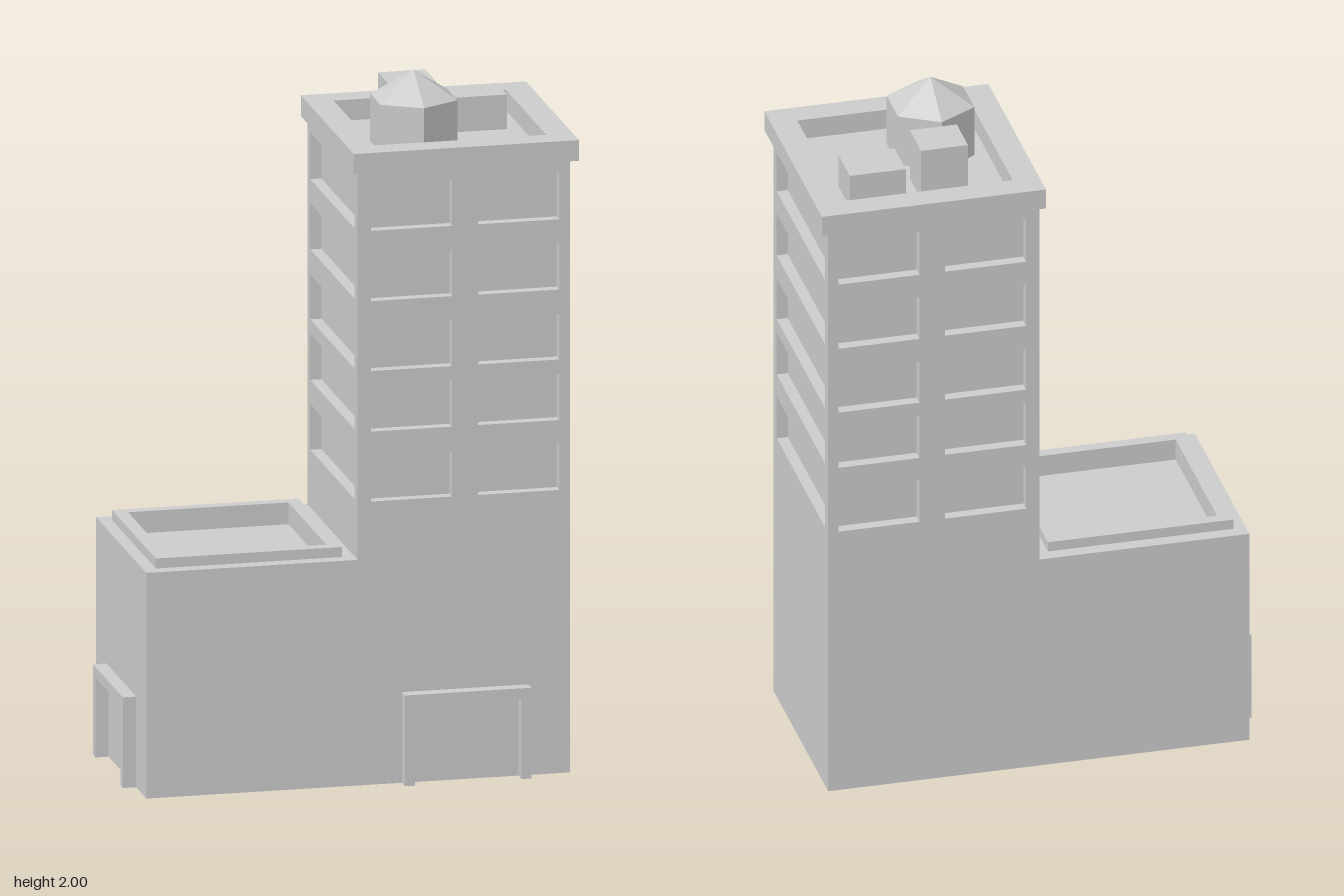
import * as THREE from 'three';

const MAT = new THREE.MeshStandardMaterial({ color: 0xcccccc, flatShading: true });
const ZC = -0.0115;                  // depth centre of the building body
const BACK = -0.316, FRONT = 0.293;  // body depth
const TX0 = 0.005, TX1 = 0.613;      // tower width
const BASE_H = 0.618, TOWER_H = 1.77;
const RECESS = 0.032;                // window depth

function add(parent, name, geometry) {
  const mesh = new THREE.Mesh(geometry, MAT);
  mesh.name = name;
  parent.add(mesh);
  return mesh;
}

// Box given by its limits on each axis
function block(parent, name, x0, x1, y0, y1, z0, z1) {
  const mesh = add(parent, name, new THREE.BoxGeometry(x1 - x0, y1 - y0, z1 - z0));
  mesh.position.set((x0 + x1) / 2, (y0 + y1) / 2, (z0 + z1) / 2);
  return mesh;
}

function rect(path, x0, x1, y0, y1) {
  path.moveTo(x0, y0);
  path.lineTo(x1, y0);
  path.lineTo(x1, y1);
  path.lineTo(x0, y1);
  path.closePath();
  return path;
}

// Flat rectangular frame lying on a roof; outer and inner are [x0, x1, z0, z1]
function roofFrame(parent, name, outer, inner, y0, y1) {
  const flip = ([x0, x1, z0, z1]) => [x0, x1, -z1, -z0];
  const shape = rect(new THREE.Shape(), ...flip(outer));
  shape.holes.push(rect(new THREE.Path(), ...flip(inner)));
  const geo = new THREE.ExtrudeGeometry(shape, { depth: y1 - y0, bevelEnabled: false });
  geo.rotateX(-Math.PI / 2);
  const mesh = add(parent, name, geo);
  mesh.position.y = y0;
  return mesh;
}

// Wall facing +z with its outer face at z = 0, pierced by rows of windows
const WINDOW_ROWS = [0.818, 1.02, 1.195, 1.397, 1.6];
const WINDOW_TOPS = [0.951, 1.153, 1.325, 1.53, 1.735];
function wall(parent, name, width, columns) {
  const shape = rect(new THREE.Shape(), -width / 2, width / 2, BASE_H, TOWER_H);
  WINDOW_ROWS.forEach((y, i) => {
    // sill kept a hair above the storey joint
    for (const [a, b] of columns) {
      shape.holes.push(rect(new THREE.Path(), a, b, y, WINDOW_TOPS[i]));
    }
  });
  const geo = new THREE.ExtrudeGeometry(shape, { depth: RECESS, bevelEnabled: false });
  geo.translate(0, 0, -RECESS);
  return add(parent, name, geo);
}

// Door surround: an upside-down U standing out from a wall facing +z
function doorFrame(parent, name) {
  const w = 0.181, h = 0.262, t = 0.028;
  const shape = new THREE.Shape([
    [-w, 0], [-w + t, 0], [-w + t, h - t - 0.003], [w - t, h - t - 0.003],
    [w - t, 0], [w, 0], [w, h], [-w, h],
  ].map(([x, y]) => new THREE.Vector2(x, y)));
  return add(parent, name, new THREE.ExtrudeGeometry(shape, { depth: 0.038, bevelEnabled: false }));
}

export function createModel() {
  const model = new THREE.Group();
  model.name = 'building';

  // Ground floors
  block(model, 'base', -0.6, TX1, 0, BASE_H, BACK, FRONT);

  // Low wing roof with a sunken terrace and raised rim
  const terrace = [-0.526, -0.067, -0.242, 0.22];
  roofFrame(model, 'wingRoof', [-0.6, TX0, BACK, FRONT], terrace, BASE_H, 0.652);
  roofFrame(model, 'wingRim', [-0.564, -0.03, -0.276, 0.254], terrace, 0.652, 0.681);

  // Tower: solid core behind four pierced walls
  const tower = new THREE.Group();
  tower.name = 'tower';
  model.add(tower);
  block(tower, 'towerCore', TX0 + RECESS, TX1 - RECESS, BASE_H, TOWER_H, BACK + RECESS, FRONT - RECESS);
  const tx = (TX0 + TX1) / 2;
  const pair = [[-0.266, -0.033], [0.041, 0.274]];
  const pairBack = pair.map(([a, b]) => [-b, -a]);
  wall(tower, 'frontWall', TX1 - TX0, pair).position.set(tx, 0, FRONT);
  const back = wall(tower, 'backWall', TX1 - TX0, pairBack);
  back.position.set(tx, 0, BACK);
  back.rotation.y = Math.PI;
  for (const [name, x, turn] of [['leftWall', TX1, 1], ['rightWall', TX0, -1]]) {
    const side = wall(tower, name, FRONT - BACK - 2 * RECESS, [[-0.2705, 0.2705]]);
    side.position.set(x, 0, ZC);
    side.rotation.y = turn * Math.PI / 2;
  }

  // Overhanging parapet around the tower roof
  roofFrame(tower, 'parapet', [-0.01, 0.635, -0.332, 0.31], [0.066, 0.56, -0.256, 0.234], TOWER_H, 1.83);

  // Rooftop equipment
  block(tower, 'tallRoofUnit', 0.178, 0.313, TOWER_H, 1.922, -0.19, -0.065);
  block(tower, 'lowRoofUnit', 0.357, 0.518, TOWER_H, 1.87, -0.19, -0.065);

  // Six-sided water tank with a pointed roof
  const tank = new THREE.Group();
  tank.name = 'waterTank';
  tank.position.set(0.215, 0, 0.085);
  tower.add(tank);
  add(tank, 'tankBody', new THREE.CylinderGeometry(0.127, 0.127, 0.152, 6)).position.y = TOWER_H + 0.076;
  add(tank, 'tankRoof', new THREE.ConeGeometry(0.127, 0.078, 6)).position.y = 1.961;

  // Doorways on the front and on the wing end
  doorFrame(model, 'frontDoorFrame').position.set(0.313, 0, FRONT);
  const sideDoor = doorFrame(model, 'sideDoorFrame');
  sideDoor.position.set(-0.6, 0, ZC);
  sideDoor.rotation.y = -Math.PI / 2;

  return model;
}
